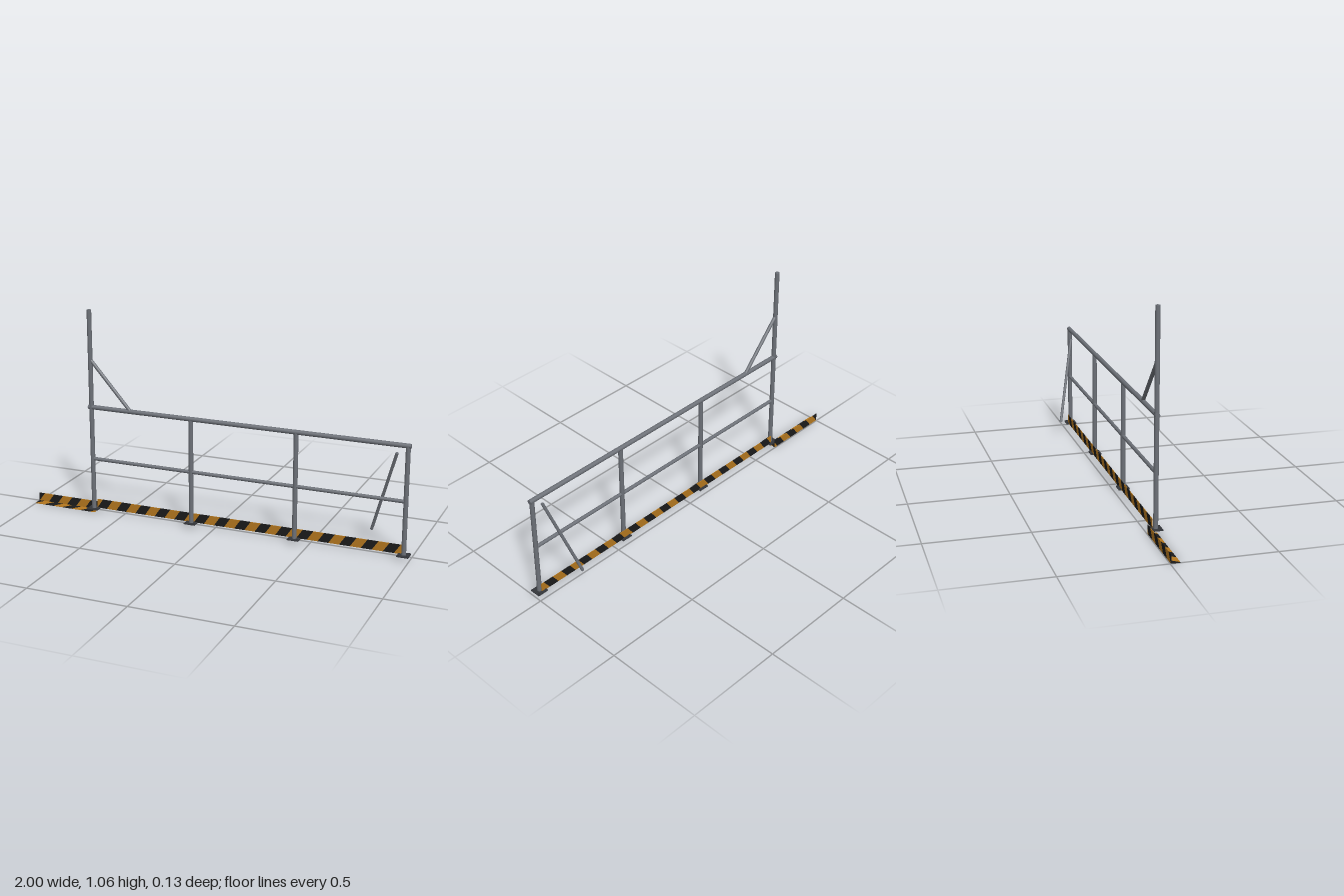
import * as THREE from 'three';

const mat = (name, color) => new THREE.MeshStandardMaterial({ name, color });

export function createModel() {
  const steel = mat('steel grey', 0x6c7077);
  const dark = mat('dark plate', 0x34363b);
  const black = mat('hazard black', 0x1b1b1b);
  const orange = mat('hazard orange', 0xb5781f);

  const model = new THREE.Group();
  model.name = 'guardRail';
  const Z = 0.04;

  function add(name, geometry, material, parent = model) {
    const mesh = new THREE.Mesh(geometry, material);
    mesh.name = name;
    parent.add(mesh);
    return mesh;
  }

  // Round tube between two points
  function tube(name, a, b, r) {
    const from = new THREE.Vector3(...a), to = new THREE.Vector3(...b);
    const dir = to.clone().sub(from);
    const mesh = add(name, new THREE.CylinderGeometry(r, r, dir.length(), 16), steel);
    mesh.position.copy(from).add(to).multiplyScalar(0.5);
    mesh.quaternion.setFromUnitVectors(new THREE.Vector3(0, 1, 0), dir.normalize());
    return mesh;
  }

  // Keep the part of a polygon on one side of x = limit
  function clip(points, limit, sign) {
    const out = [];
    points.forEach((p, i) => {
      const q = points[(i + 1) % points.length];
      const dp = (p.x - limit) * sign, dq = (q.x - limit) * sign;
      if (dp >= 0) out.push(p);
      if (dp * dq < 0) out.push(p.clone().lerp(q, dp / (dp - dq)));
    });
    return out;
  }

  // Thin plate cut into slanted stripes of alternating colour
  function stripedPlate(name, length, height, depth, first) {
    const plate = new THREE.Group();
    plate.name = name;
    const step = 0.054, slant = 0.032;
    for (let k = -1; k * step < length; k++) {
      const a = k * step, b = a + step;
      let pts = [[a, 0], [b, 0], [b + slant, height], [a + slant, height]]
        .map(p => new THREE.Vector2(...p));
      pts = clip(clip(pts, 0, 1), length, -1);
      if (pts.length < 3) continue;
      const geometry = new THREE.ExtrudeGeometry(new THREE.Shape(pts), { depth, bevelEnabled: false });
      add('stripe', geometry, (k + first) & 1 ? orange : black, plate);
    }
    model.add(plate);
    return plate;
  }

  // Posts with bolted base plates; the first post is tall
  [-0.658, -0.116, 0.427, 0.97].forEach((x, i) => {
    tube(i ? 'post' : 'tallPost', [x, 0.022, Z], [x, i ? 0.562 : 1.06, Z], 0.0115);
    add('basePlate', new THREE.BoxGeometry(0.058, 0.005, 0.056), dark).position.set(x, 0.0225, Z);
    for (const sx of [-1, 1]) for (const sz of [-1, 1]) {
      add('bolt', new THREE.CylinderGeometry(0.004, 0.004, 0.004, 6), dark)
        .position.set(x + sx * 0.021, 0.027, Z + sz * 0.02);
    }
  });

  // Rails
  tube('topRail', [-0.674, 0.562, Z], [0.984, 0.562, Z], 0.0115);
  tube('midRail', [-0.658, 0.29, Z], [0.97, 0.29, Z], 0.009);

  // Corner brace and loose stay leaning backwards
  tube('cornerBrace', [-0.655, 0.805, Z], [-0.443, 0.564, Z], 0.009);
  tube('rearStay', [0.917, 0.52, 0.034], [0.783, 0.09, -0.059], 0.0075);

  // Striped toe board behind the posts
  stripedPlate('toeBoard', 1.615, 0.047, 0.003, 0).position.set(-0.647, 0.021, 0.025);

  // Striped angle strip beyond the tall post
  stripedPlate('angleUpright', 0.345, 0.044, 0.003, 1).position.set(-1, 0.001, 0.002);
  const flange = stripedPlate('angleFlange', 0.345, 0.041, 0.003, 1);
  flange.rotation.x = -Math.PI / 2;
  flange.position.set(-1, 0, 0.046);

  return model;
}
